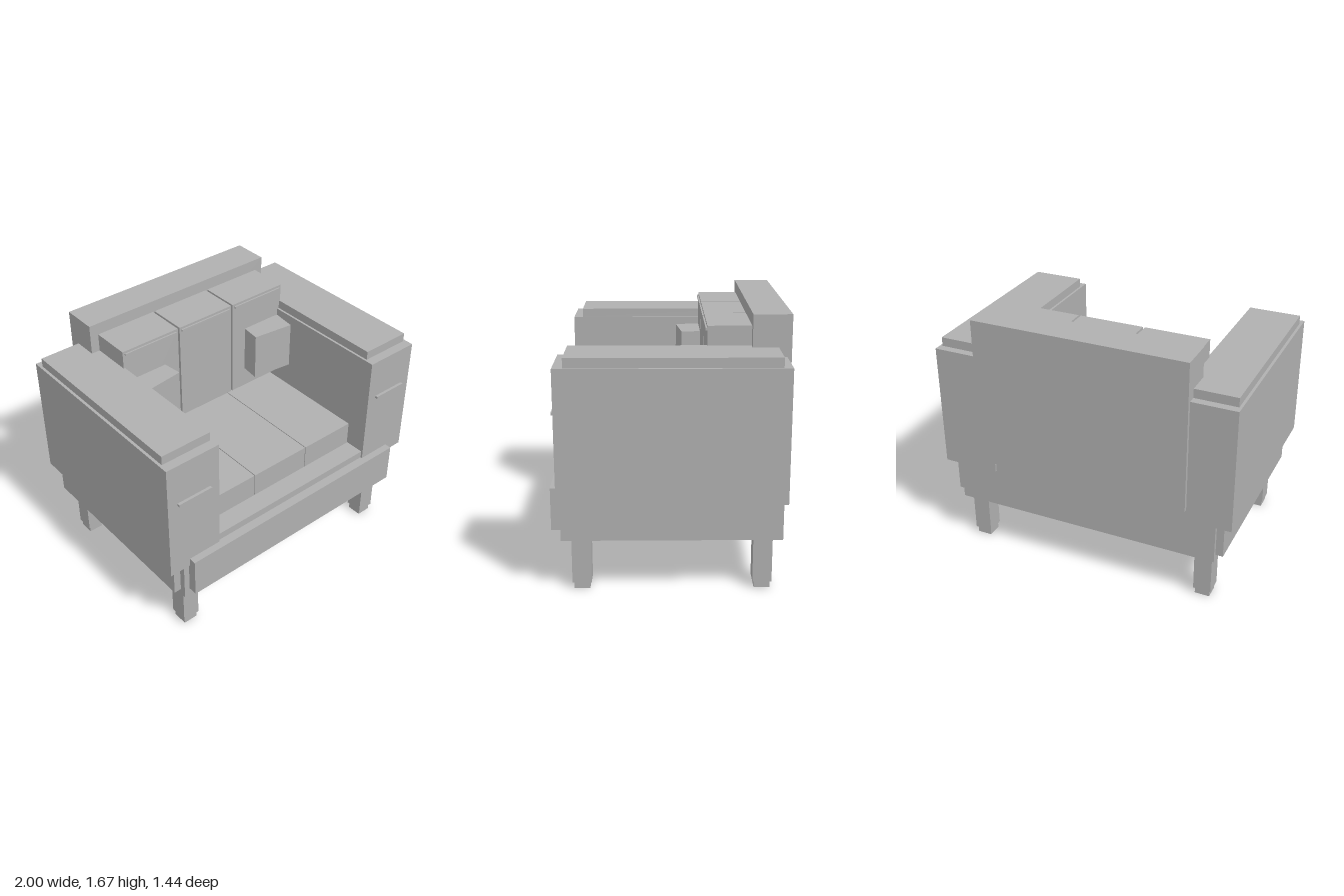
import * as THREE from 'three';

export function createModel() {
  const group = new THREE.Group();
  const grey = new THREE.MeshStandardMaterial({ color: 0xb0b0b0 });
  grey.name = 'plain grey';

  // Box given by its extents on each axis
  function block(name, [x0, x1], [y0, y1], [z0, z1]) {
    const mesh = new THREE.Mesh(new THREE.BoxGeometry(x1 - x0, y1 - y0, z1 - z0), grey);
    mesh.name = name;
    mesh.position.set((x0 + x1) / 2, (y0 + y1) / 2, (z0 + z1) / 2);
    group.add(mesh);
    return mesh;
  }

  // Same box on the left (+x) and right (-x)
  function pair(name, [x0, x1], y, z) {
    block(name + 'Left', [x0, x1], y, z);
    block(name + 'Right', [-x1, -x0], y, z);
  }

  // Frame
  block('base', [-0.895, 0.895], [0.333, 0.705], [-0.681, 0.661]);
  block('frontRail', [-0.857, 0.857], [0.387, 0.655], [0.661, 0.72]);
  block('backrest', [-0.708, 0.708], [0.68, 1.675], [-0.72, -0.487]);
  pair('sideRail', [0.895, 0.943], [0.373, 0.61], [-0.655, 0.62]);

  // Arms with caps and front trim bars
  pair('arm', [0.625, 1], [0.6, 1.419], [-0.694, 0.673]);
  pair('armCap', [0.64, 0.982], [1.419, 1.478], [-0.642, 0.611]);
  pair('armTrim', [0.691, 0.932], [1.131, 1.147], [0.673, 0.691]);

  // Legs with small feet
  for (const z of [0.541, -0.563]) {
    const end = z > 0 ? 'front' : 'back';
    pair(end + 'Leg', [0.748, 0.864], [0.044, 0.333], [z - 0.059, z + 0.059]);
    pair(end + 'Foot', [0.757, 0.854], [0, 0.044], [z - 0.049, z + 0.049]);
  }

  // Three seat cushions, and three back cushions with piping
  for (const i of [-1, 0, 1]) {
    const sx = i * 0.42;
    const half = i === 0 ? 0.216 : 0.199;
    block('seatCushion', [sx - half, sx + half], [0.705, 0.869], [-0.345, 0.53]);
    const bx = i * 0.438;
    block('backCushion', [bx - 0.212, bx + 0.212], [0.91, 1.597], [-0.487, -0.222]);
    block('backCushionPiping', [bx - 0.197, bx + 0.197], [1.567, 1.581], [-0.222, -0.212]);
  }

  // Loose pillows, turned toward the middle
  for (const s of [-1, 1]) {
    const x = s * 0.472;
    const pillow = block(s > 0 ? 'pillowLeft' : 'pillowRight',
      [x - 0.143, x + 0.143], [1.05, 1.372], [-0.236, -0.076]);
    pillow.rotation.y = -s * 0.12;
  }

  return group;
}
